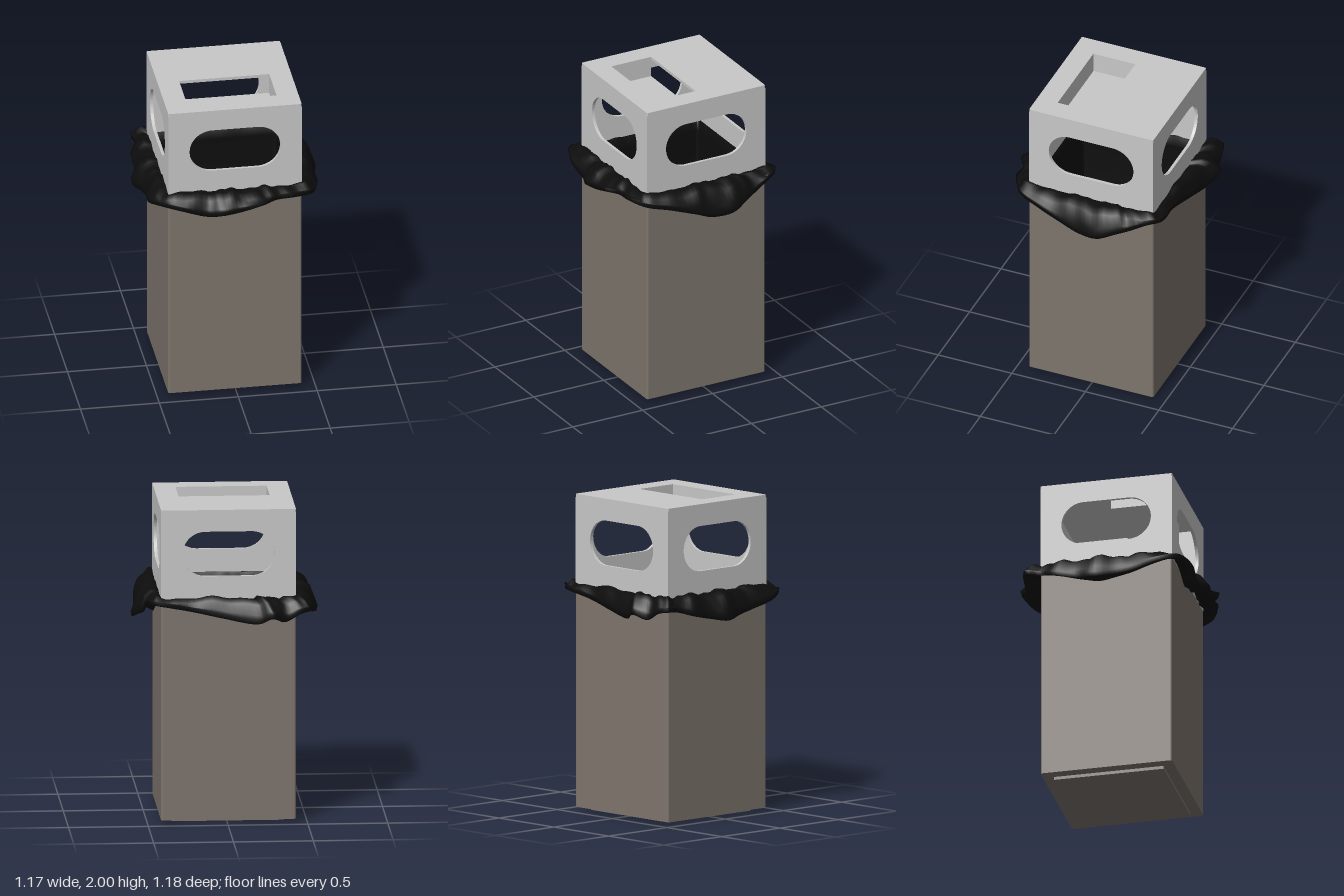
import * as THREE from 'three';

const H = 0.4225;          // half width of the bin
const RIM = 1.43;          // height where hood meets body
const WALL = 0.02;

const hoodMat = new THREE.MeshStandardMaterial({ color: 0xc8c8c8 });
hoodMat.name = 'lightGrey';
const bodyMat = new THREE.MeshStandardMaterial({ color: 0x7e756d });
bodyMat.name = 'taupe';
const bagMat = new THREE.MeshStandardMaterial({ color: 0x0d0d0d, side: THREE.DoubleSide });
bagMat.name = 'blackBag';

function add(parent, name, geo, mat, x = 0, y = 0, z = 0) {
  const m = new THREE.Mesh(geo, mat);
  m.name = name;
  m.position.set(x, y, z);
  parent.add(m);
  return m;
}

// Rounded square or rectangle outline, for shapes and holes
function rect(path, x0, y0, x1, y1, r = 0) {
  path.moveTo(x0 + r, y0);
  path.lineTo(x1 - r, y0);
  if (r) path.absarc(x1 - r, y0 + r, r, -Math.PI / 2, 0, false);
  path.lineTo(x1, y1 - r);
  if (r) path.absarc(x1 - r, y1 - r, r, 0, Math.PI / 2, false);
  path.lineTo(x0 + r, y1);
  if (r) path.absarc(x0 + r, y1 - r, r, Math.PI / 2, Math.PI, false);
  path.lineTo(x0, y0 + r);
  if (r) path.absarc(x0 + r, y0 + r, r, Math.PI, Math.PI * 1.5, false);
  path.closePath();
  return path;
}

const extrude = (shape, depth) =>
  new THREE.ExtrudeGeometry(shape, { depth, bevelEnabled: false, curveSegments: 20 });

// Hood wall with a slot-shaped opening; outer face lies at z = H
function wallGeometry(halfWidth) {
  const s = rect(new THREE.Shape(), -halfWidth, RIM, halfWidth, 2 - WALL);
  const hole = new THREE.Path();
  const r = 0.1425, a = 0.145, cy = 1.719;
  hole.moveTo(-a, cy - r);
  hole.lineTo(a, cy - r);
  hole.absarc(a, cy, r, -Math.PI / 2, Math.PI / 2, false);
  hole.lineTo(-a, cy + r);
  hole.absarc(-a, cy, r, Math.PI / 2, Math.PI * 1.5, false);
  s.holes.push(hole);
  return extrude(s, WALL).translate(0, 0, H - WALL);
}

function makeHood() {
  const g = new THREE.Group();
  g.name = 'hood';
  ['frontWall', 'leftWall', 'backWall', 'rightWall'].forEach((name, i) => {
    const wall = add(g, name, wallGeometry(i % 2 ? H - WALL : H), hoodMat);
    wall.rotation.y = i * Math.PI / 2;
  });
  // Top plate with the rectangular opening over the tray
  const top = rect(new THREE.Shape(), -H, -H, H, H, 0.008);
  top.holes.push(rect(new THREE.Path(), -0.285, -0.285, 0.285, 0));
  add(g, 'topPlate', extrude(top, WALL).rotateX(-Math.PI / 2), hoodMat, 0, 2 - WALL, 0);
  // Tray hung under the opening, open towards the back
  const t = 0.01, h = 0.125, y = 1.857 + h / 2;
  add(g, 'trayFloor', new THREE.BoxGeometry(0.59, t, 0.295), hoodMat, 0, 1.862, 0.1475);
  add(g, 'trayFront', new THREE.BoxGeometry(0.59, h, t), hoodMat, 0, y, 0.29);
  for (const s of [-1, 1])
    add(g, 'traySide', new THREE.BoxGeometry(t, h, 0.285), hoodMat, s * 0.29, y, 0.1425);
  return g;
}

function makeBody() {
  const g = new THREE.Group();
  g.name = 'body';
  const ring = rect(new THREE.Shape(), -H, -H, H, H, 0.012);
  ring.holes.push(rect(new THREE.Path(), -H + WALL, -H + WALL, H - WALL, H - WALL));
  add(g, 'bodyWalls', extrude(ring, RIM - 0.04).rotateX(-Math.PI / 2), bodyMat, 0, 0.03, 0);
  const base = rect(new THREE.Shape(), -H, -H, H, H, 0.012);
  add(g, 'bodyBase', extrude(base, 0.01).rotateX(-Math.PI / 2), bodyMat, 0, 0.02, 0);
  add(g, 'footPlate', new THREE.BoxGeometry(0.705, 0.02, 0.705), bodyMat, 0, 0.01, 0);
  return g;
}

// Loose edge of the bag: x, z and height of the hem, round the bin
const hem = [
  [-0.52, -0.50, 1.36], [-0.46, -0.53, 1.35], [-0.36, -0.54, 1.30], [-0.28, -0.59, 1.33],
  [-0.19, -0.55, 1.29], [0.02, -0.51, 1.32], [0.22, -0.48, 1.36], [0.43, -0.49, 1.40],
  [0.505, -0.42, 1.40], [0.52, -0.30, 1.33], [0.55, -0.22, 1.30], [0.585, -0.11, 1.26],
  [0.56, 0.03, 1.25], [0.555, 0.14, 1.29], [0.53, 0.32, 1.35], [0.475, 0.46, 1.38],
  [0.36, 0.53, 1.40], [0.24, 0.53, 1.39], [0.16, 0.585, 1.39], [0.0, 0.57, 1.34],
  [-0.11, 0.58, 1.33], [-0.20, 0.535, 1.31], [-0.36, 0.535, 1.36], [-0.49, 0.475, 1.38],
  [-0.55, 0.36, 1.35], [-0.54, 0.20, 1.31], [-0.55, 0.09, 1.29], [-0.59, -0.05, 1.27],
  [-0.55, -0.17, 1.29], [-0.55, -0.31, 1.32], [-0.505, -0.41, 1.35],
];

function makeBag() {
  const curve = new THREE.CatmullRomCurve3(
    hem.map(([x, z, y]) => new THREE.Vector3(x, y, z)), true);
  const N = 160, pos = [], idx = [];
  let rows = 0;
  for (let i = 0; i < N; i++) {
    const p = curve.getPoint(i / N), a = i / N * Math.PI * 2;
    const k = 1 / Math.max(Math.abs(p.x), Math.abs(p.z));
    const at = (half) => [p.x * k * half, p.z * k * half];
    const rim = at(H);
    const out = (f) => [rim[0] + (p.x - rim[0]) * f, rim[1] + (p.z - rim[1]) * f];
    const ripple = 0.008 * Math.sin(a * 13) + 0.006 * Math.sin(a * 29 + 1);
    const crest = 1.438 + ripple;
    // Section from the inside of the bin, over the rim and down to the hem
    const section = [
      [at(0.0), 0.08], [at(0.37), 0.08], [at(0.39), 1.36], [at(0.398), 1.425],
      [rim, crest], [out(0.4), crest + 0.008], [out(0.72), crest - 0.02],
      [out(0.92), p.y * 0.6 + crest * 0.4], [out(1), p.y + 0.03], [out(0.95), p.y],
      [out(0.8), p.y + 0.025], [out(0.6), p.y * 0.5 + crest * 0.5 - 0.01],
      [out(0.12), Math.min(p.y + 0.03, 1.42)],
    ];
    rows = section.length;
    for (const [[x, z], y] of section) pos.push(x, y, z);
  }
  for (let i = 0; i < N; i++)
    for (let j = 0; j < rows - 1; j++) {
      const a = i * rows + j, b = ((i + 1) % N) * rows + j;
      idx.push(a, a + 1, b, b, a + 1, b + 1);
    }
  const geo = new THREE.BufferGeometry();
  geo.setAttribute('position', new THREE.Float32BufferAttribute(pos, 3));
  geo.setIndex(idx);
  geo.computeVertexNormals();
  return geo;
}

export function createModel() {
  const model = new THREE.Group();
  model.name = 'litterBin';
  const bin = new THREE.Group();
  bin.name = 'bin';
  bin.position.set(-0.0075, 0, -0.0025);
  bin.add(makeBody(), makeHood());
  model.add(bin);
  add(model, 'binBag', makeBag(), bagMat);
  return model;
}
